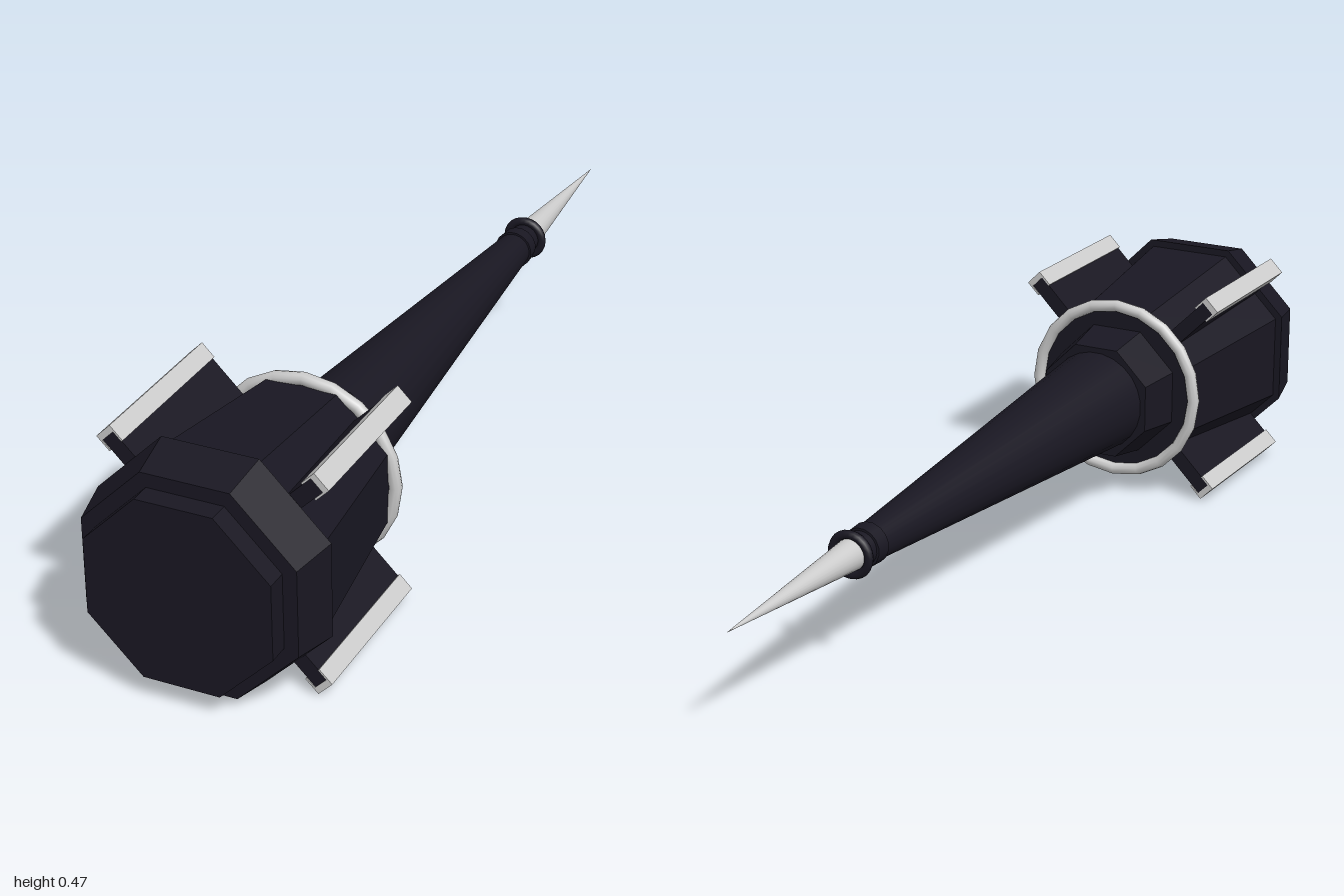
import * as THREE from 'three';

const AXIS_Y = 0.233;
const dark = new THREE.MeshStandardMaterial({ color: 0x191722 });
const darkFlat = new THREE.MeshStandardMaterial({ color: 0x191722, flatShading: true });
const light = new THREE.MeshStandardMaterial({ color: 0xcccccc });

export function createModel() {
  const model = new THREE.Group();
  model.name = 'spikedLance';
  const body = new THREE.Group();
  body.name = 'body';
  body.position.y = AXIS_Y;
  model.add(body);

  const add = (name, geometry, material, parent = body) => {
    const mesh = new THREE.Mesh(geometry, material);
    mesh.name = name;
    parent.add(mesh);
    return mesh;
  };

  // Tapered section along z, from the front end to the back end
  const section = (name, zFront, rFront, zBack, rBack, sides, material) => {
    const geometry = new THREE.CylinderGeometry(rFront, rBack, zFront - zBack, sides, 1, false, Math.PI / sides);
    geometry.rotateX(Math.PI / 2);
    geometry.translate(0, 0, (zFront + zBack) / 2);
    return add(name, geometry, material);
  };

  // Octagonal section sized by the distance to its flats
  const k = 1 / Math.cos(Math.PI / 8);
  const octagon = (name, zF, aF, zB, aB) => section(name, zF, aF * k, zB, aB * k, 8, darkFlat);

  // Stepped octagonal base
  octagon('endCap', 1, 0.185, 0.95, 0.185);
  octagon('flange', 0.957, 0.213, 0.862, 0.233);
  octagon('housing', 0.862, 0.218, 0.5, 0.175);
  octagon('collar', 0.5, 0.136, 0.4, 0.12);

  // Long round shaft with its end bands and pointed tip
  section('shaft', 0.41, 0.11, -0.595, 0.032, 24, dark);
  section('shaftBand', -0.525, 0.042, -0.557, 0.04, 16, dark);
  section('tip', -0.59, 0.032, -1, 0, 24, light);
  const tipRing = add('tipRing', new THREE.TorusGeometry(0.04, 0.009, 8, 24), dark);
  tipRing.position.z = -0.593;

  // Light ring around the narrow end of the housing
  const ring = add('housingRing', new THREE.TorusGeometry(0.188, 0.013, 10, 20), light);
  ring.position.z = 0.498;

  // Four diagonal fins, each carrying a channel-shaped rail
  const channel = new THREE.Shape([
    [0.269, -0.02], [0.305, -0.02], [0.305, 0.02], [0.269, 0.02],
    [0.269, 0.016], [0.292, 0.016], [0.292, -0.016], [0.269, -0.016],
  ].map(([x, y]) => new THREE.Vector2(x, y)));
  const railGeometry = new THREE.ExtrudeGeometry(channel, { depth: 0.344, bevelEnabled: false });
  railGeometry.translate(0, 0, 0.518);
  const finGeometry = new THREE.BoxGeometry(0.152, 0.032, 0.34);
  finGeometry.translate(0.216, 0, 0.69);
  for (let i = 0; i < 4; i++) {
    const fin = new THREE.Group();
    fin.name = 'fin' + (i + 1);
    fin.rotation.z = Math.PI / 4 + i * Math.PI / 2;
    add('finBlade', finGeometry, darkFlat, fin);
    add('finRail', railGeometry, light, fin);
    body.add(fin);
  }

  return model;
}
